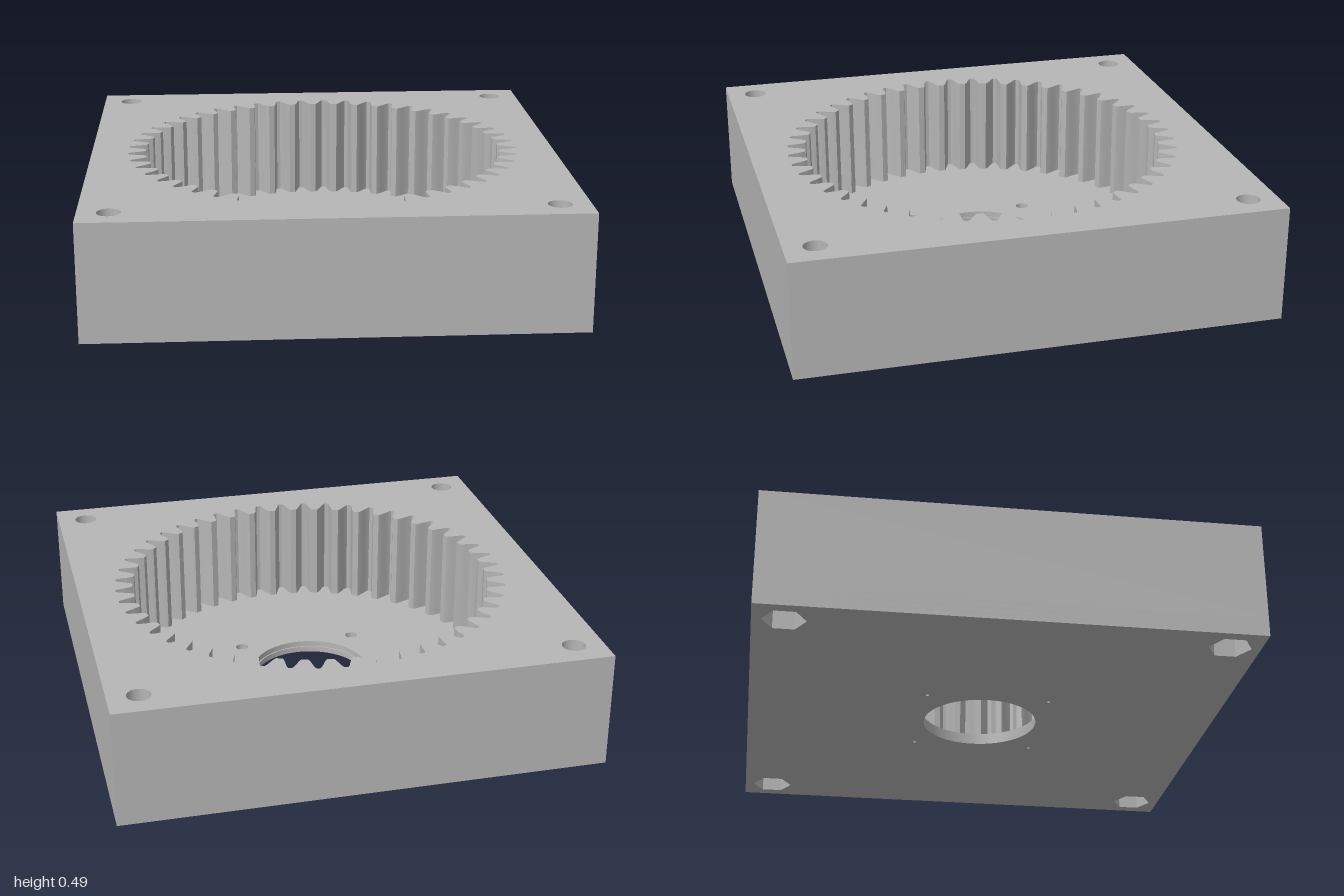
import * as THREE from 'three';
import { toCreasedNormals } from 'three/addons/utils/BufferGeometryUtils.js';

const TEETH = 48;
const BOLT = 0.875;   // corner bolt offset
const SCREW = 0.258;  // small floor screw offset

const fourCorners = (d, make) =>
  [[1, 1], [-1, 1], [-1, -1], [1, -1]].map(([sx, sy]) => make(sx * d, sy * d));

const circle = r => (x, y) => new THREE.Path().absarc(x, y, r, 0, Math.PI * 2, true);

const hexagon = r => (x, y) => {
  const pts = [];
  for (let i = 0; i < 6; i++) {
    const a = Math.PI / 2 - i * Math.PI / 3;
    pts.push(new THREE.Vector2(x + r * Math.cos(a), y + r * Math.sin(a)));
  }
  return new THREE.Path(pts);
};

// Internal gear outline: [fraction of tooth pitch, radius], tooth tip at 0
function gearOutline() {
  const profile = [
    [-0.43, 0.843], [-0.37, 0.832], [-0.28, 0.803], [-0.2, 0.78], [-0.13, 0.768],
    [0.13, 0.768], [0.2, 0.78], [0.28, 0.803], [0.37, 0.832], [0.43, 0.843],
  ];
  const pts = [];
  for (let i = 0; i < TEETH; i++) {
    for (const [u, r] of profile) {
      const a = (i + u) * Math.PI * 2 / TEETH;
      pts.push(new THREE.Vector2(r * Math.cos(a), r * Math.sin(a)));
    }
  }
  return new THREE.Path(pts);
}

export function createModel() {
  const group = new THREE.Group();
  group.name = 'ringGearHousing';
  const grey = new THREE.MeshStandardMaterial({ color: 0xb6b6b6 });
  grey.name = 'grey';

  // One square slab of the housing between two heights, with its openings
  function slab(name, y0, y1, holes) {
    const shape = new THREE.Shape([
      new THREE.Vector2(-1, -1), new THREE.Vector2(1, -1),
      new THREE.Vector2(1, 1), new THREE.Vector2(-1, 1),
    ]);
    shape.holes.push(...holes);
    const geo = new THREE.ExtrudeGeometry(shape, { depth: y1 - y0, bevelEnabled: false, curveSegments: 48 });
    geo.rotateX(-Math.PI / 2);
    const mesh = new THREE.Mesh(toCreasedNormals(geo, 0.35), grey);
    mesh.name = name;
    mesh.position.y = y0;
    group.add(mesh);
  }

  const nutPockets = () => fourCorners(BOLT, hexagon(0.087));

  // Floor: shaft opening, screw holes with wider head recesses above
  slab('floorLower', 0, 0.025, [
    circle(0.243)(0, 0), ...fourCorners(SCREW, circle(0.008)), ...nutPockets(),
  ]);
  slab('floorUpper', 0.025, 0.05, [
    circle(0.249)(0, 0), ...fourCorners(SCREW, circle(0.027)), ...nutPockets(),
  ]);

  // Toothed ring: nut pockets below, round bolt holes above
  slab('gearRingLower', 0.05, 0.08, [gearOutline(), ...nutPockets()]);
  slab('gearRingUpper', 0.08, 0.49, [gearOutline(), ...fourCorners(BOLT, circle(0.048))]);

  return group;
}
